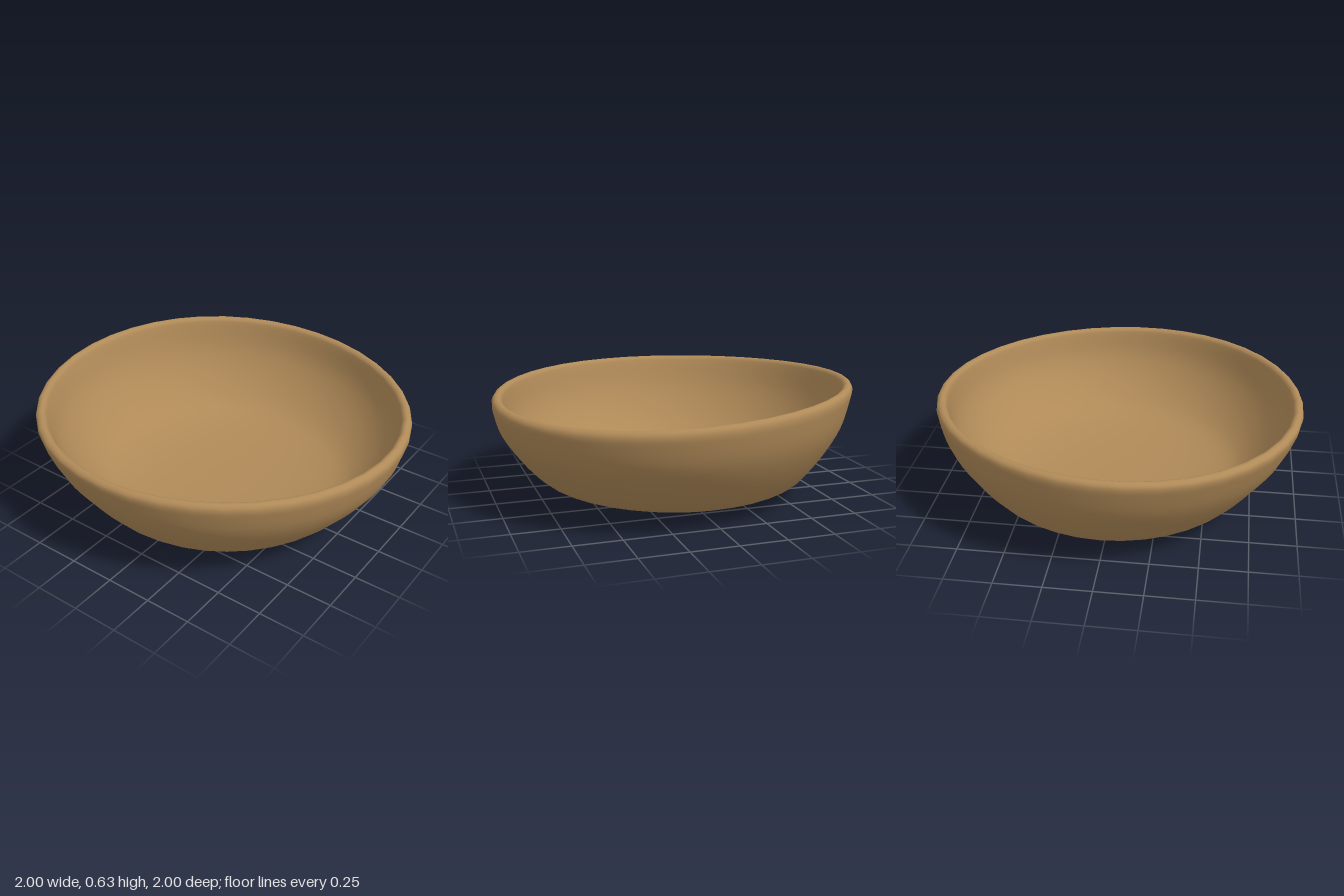
import * as THREE from 'three';
import { mergeVertices } from 'three/addons/utils/BufferGeometryUtils.js';

export function createModel() {
  const group = new THREE.Group();
  group.name = 'bowl';
  const clay = new THREE.MeshStandardMaterial({ color: 0xb08a58 });
  clay.name = 'brown clay';

  // Closed section: underside, outer wall, rounded rim, inner wall, floor
  const section = [
    [0, 0.006], [0.2, 0.008], [0.4, 0.022], [0.55, 0.046], [0.68, 0.086], [0.76, 0.14],
    [0.87, 0.272], [0.95, 0.4], [0.99, 0.52], [0.998, 0.565], [0.99, 0.588], [0.97, 0.598],
    [0.95, 0.588], [0.937, 0.556], [0.9, 0.42], [0.82, 0.285], [0.71, 0.17], [0.6, 0.115],
    [0.42, 0.083], [0.2, 0.068], [0, 0.065],
  ].map(([r, y]) => new THREE.Vector2(r, y));
  const profile = new THREE.SplineCurve(section).getPoints(60);
  profile.forEach((p) => { p.x = Math.max(p.x, 0); });
  profile[0].x = profile[profile.length - 1].x = 0;

  let geometry = new THREE.LatheGeometry(profile, 40);
  geometry.deleteAttribute('uv');
  geometry.deleteAttribute('normal');

  // Hand-formed unevenness: oval rim rising to the back, fuller wall at the
  // front left, base sagging to one side
  const pos = geometry.attributes.position;
  for (let i = 0; i < pos.count; i++) {
    const x = pos.getX(i), y = pos.getY(i), z = pos.getZ(i);
    const lift = Math.min(y / 0.58, 1);
    const oval = 1 + 0.022 * lift * Math.sin(2 * Math.atan2(z, x));
    const bulge = 0.01 * Math.sin(Math.PI * lift);
    const tilt = lift * (-0.0085 * x - 0.03 * z - 0.03 * x * z);
    const sag = (1 - lift) * (0.011 * z - 0.008 * x);
    pos.setXYZ(i, x * oval + bulge, Math.max(0, y + tilt + sag), z * oval + bulge - 0.003 * lift);
  }
  geometry = mergeVertices(geometry, 1e-4);
  geometry.computeVertexNormals();

  const bowl = new THREE.Mesh(geometry, clay);
  bowl.name = 'bowlBody';
  group.add(bowl);
  return group;
}
